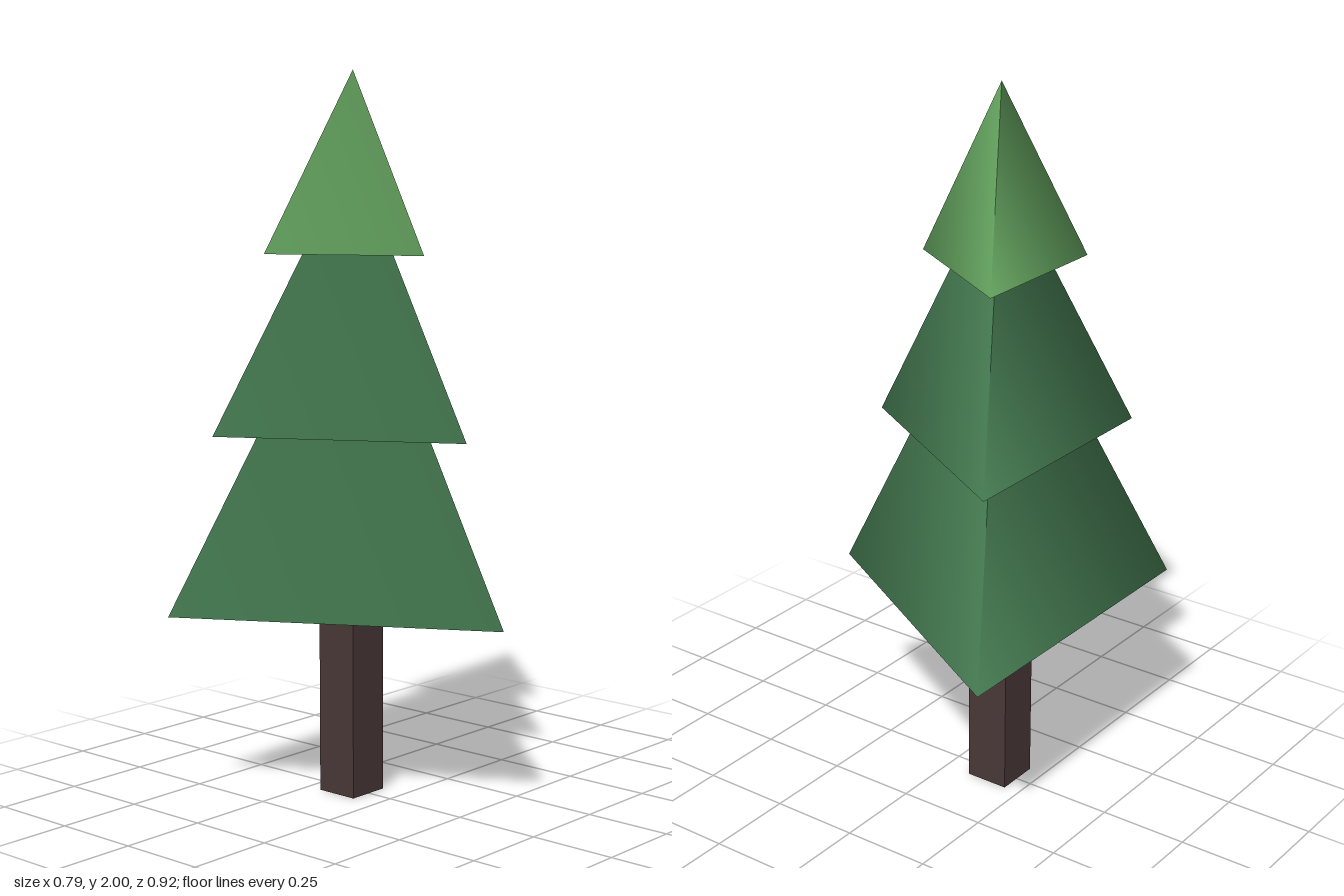
import * as THREE from 'three';

const material = (name, color, extra = {}) =>
  new THREE.MeshStandardMaterial({ name, color, side: THREE.DoubleSide, ...extra });

export function createModel() {
  const tree = new THREE.Group();
  tree.name = 'pineTree';

  const bark = material('bark brown', 0x4a3838, { flatShading: true });
  const darkGreen = material('dark green', 0x43784f);
  const lightGreen = material('light green', 0x619f5c);

  // Square trunk, open at the ends and reaching up into the foliage
  const trunkHeight = 0.75;
  const trunkRadius = 0.125 / Math.SQRT2;
  const trunk = new THREE.Mesh(
    new THREE.CylinderGeometry(trunkRadius, trunkRadius, trunkHeight, 4, 1, true, Math.PI / 4),
    bark
  );
  trunk.name = 'trunk';
  trunk.position.set(-0.141, trunkHeight / 2, 0.003);
  tree.add(trunk);

  // Three hollow, three-sided foliage tiers with one corner towards +x
  const tiers = [
    { name: 'lowerFoliage', base: 0.535, height: 1.005, radius: 0.529, mat: darkGreen },
    { name: 'middleFoliage', base: 1.022, height: 0.76, radius: 0.4, mat: darkGreen },
    { name: 'upperFoliage', base: 1.51, height: 0.49, radius: 0.252, mat: lightGreen },
  ];
  for (const { name, base, height, radius, mat } of tiers) {
    const tier = new THREE.Mesh(
      new THREE.ConeGeometry(radius, height, 3, 1, true, Math.PI / 2),
      mat
    );
    tier.name = name;
    tier.position.set(-0.133, base + height / 2, 0);
    tree.add(tier);
  }

  return tree;
}
